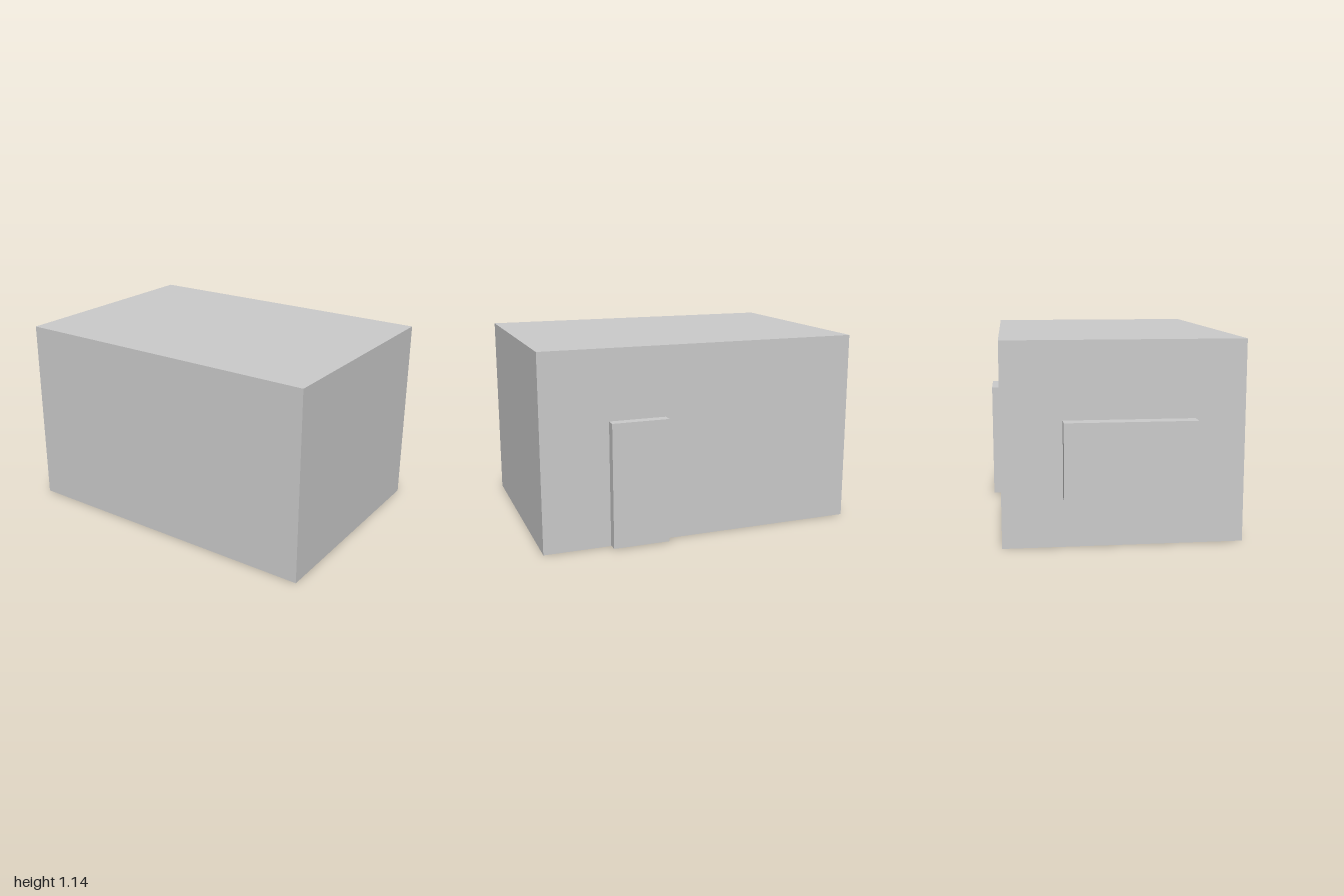
import * as THREE from 'three';

const material = new THREE.MeshStandardMaterial({ color: 0xcccccc, flatShading: true });

// Box given by its extents along each axis
function block(name, [x0, x1], [y0, y1], [z0, z1]) {
  const mesh = new THREE.Mesh(new THREE.BoxGeometry(x1 - x0, y1 - y0, z1 - z0), material);
  mesh.position.set((x0 + x1) / 2, (y0 + y1) / 2, (z0 + z1) / 2);
  mesh.name = name;
  return mesh;
}

export function createModel() {
  const group = new THREE.Group();
  group.name = 'room';
  const width = [-0.705, 0.645];
  const depth = [-0.915, 1];

  group.add(
    // Floor slab with the room body standing on it
    block('floor', width, [0, 0.04], depth),
    block('roomBody', width, [0.04, 1.145], depth),
    // Door panel standing out from the left wall
    block('door', [0.645, 0.705], [0.005, 0.735], [0.27, 0.606]),
    // Window block standing out from the back wall
    block('window', [-0.425, 0.307], [0.28, 0.71], [-1, -0.915]),
  );
  return group;
}
